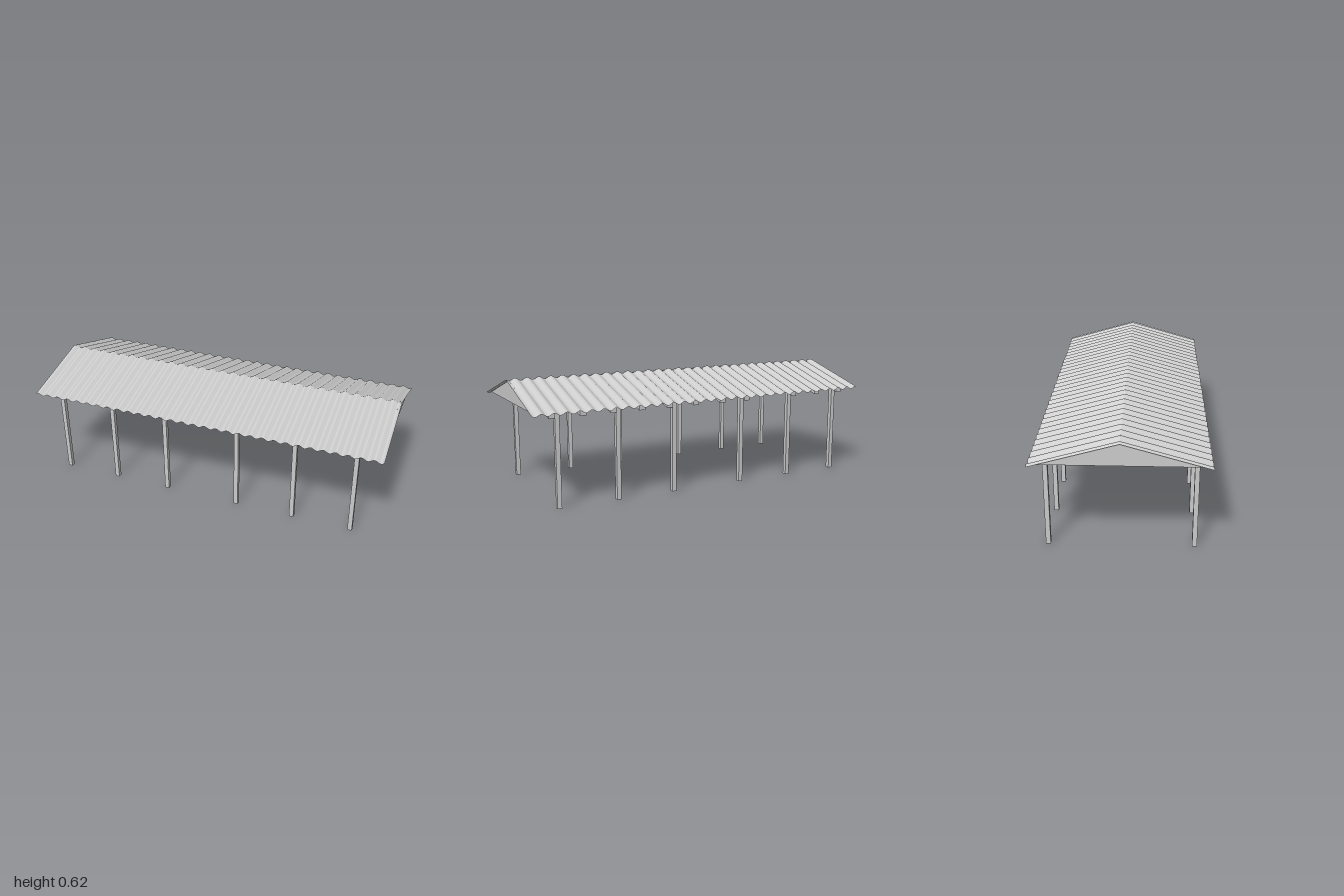
import * as THREE from 'three';

const SLOPE = 0.284;

export function createModel() {
  const group = new THREE.Group();
  const mat = new THREE.MeshStandardMaterial({ color: 0xcccccc, flatShading: true });
  const sheetMat = new THREE.MeshStandardMaterial({
    color: 0xcccccc, flatShading: true, side: THREE.DoubleSide });

  const add = (name, geometry, material, x = 0, y = 0, z = 0) => {
    const mesh = new THREE.Mesh(geometry, material);
    mesh.name = name;
    mesh.position.set(x, y, z);
    group.add(mesh);
    return mesh;
  };

  // Corrugated roof: a flat sheet folded at the ridge, with waves along x
  const waves = 31, steps = 6;
  const roof = new THREE.PlaneGeometry(2, 0.862, waves * steps, 2).rotateX(-Math.PI / 2);
  const p = roof.attributes.position;
  for (let i = 0; i < p.count; i++) {
    const phase = (p.getX(i) + 1) / 2 * waves * Math.PI * 2;
    p.setY(i, 0.613 - SLOPE * Math.abs(p.getZ(i)) + 0.007 * Math.sin(phase));
  }
  roof.computeVertexNormals();
  add('corrugatedRoof', roof, sheetMat);

  // Profile in the z-y plane, extruded along x and centred
  const extrudeAlongX = (points, width) => {
    const shape = new THREE.Shape(points.map(([z, y]) => new THREE.Vector2(z, y)));
    return new THREE.ExtrudeGeometry(shape, { depth: width, bevelEnabled: false })
      .translate(0, 0, -width / 2).rotateY(Math.PI / 2);
  };

  // Rafter pairs, with the eave corners clipped
  const rafter = extrudeAlongX([
    [-0.383, 0.463], [0, 0.573], [0.383, 0.463], [0.383, 0.488],
    [0.37, 0.494], [0, 0.598], [-0.37, 0.494], [-0.383, 0.488]], 0.034);
  for (const x of [-0.895, -0.733, -0.565, -0.243, -0.086, 0.08, 0.24, 0.4, 0.56, 0.724, 0.886]) {
    add('rafter', rafter, mat, x);
  }

  // Posts in two rows
  const post = new THREE.BoxGeometry(0.024, 0.49, 0.024);
  for (const x of [-0.862, -0.54, -0.215, 0.208, 0.532, 0.856]) {
    for (const z of [-0.363, 0.363]) add('post', post, mat, x, 0.245, z);
  }

  // Purlins between the rafters and the roof
  const purlin = new THREE.BoxGeometry(1.95, 0.008, 0.026);
  for (const side of [-1, 1]) {
    for (let i = 0; i < 6; i++) {
      const z = 0.03 + i * 0.066;
      const mesh = add('purlin', purlin, mat, 0, 0.602 - SLOPE * z, side * z);
      mesh.rotation.x = side * Math.atan(SLOPE);
    }
  }

  // Gable panels closing both ends
  const gable = extrudeAlongX([[-0.386, 0.496], [0.386, 0.496], [0, 0.608]], 0.008);
  for (const x of [-0.98, 0.98]) add('gablePanel', gable, mat, x);

  return group;
}
